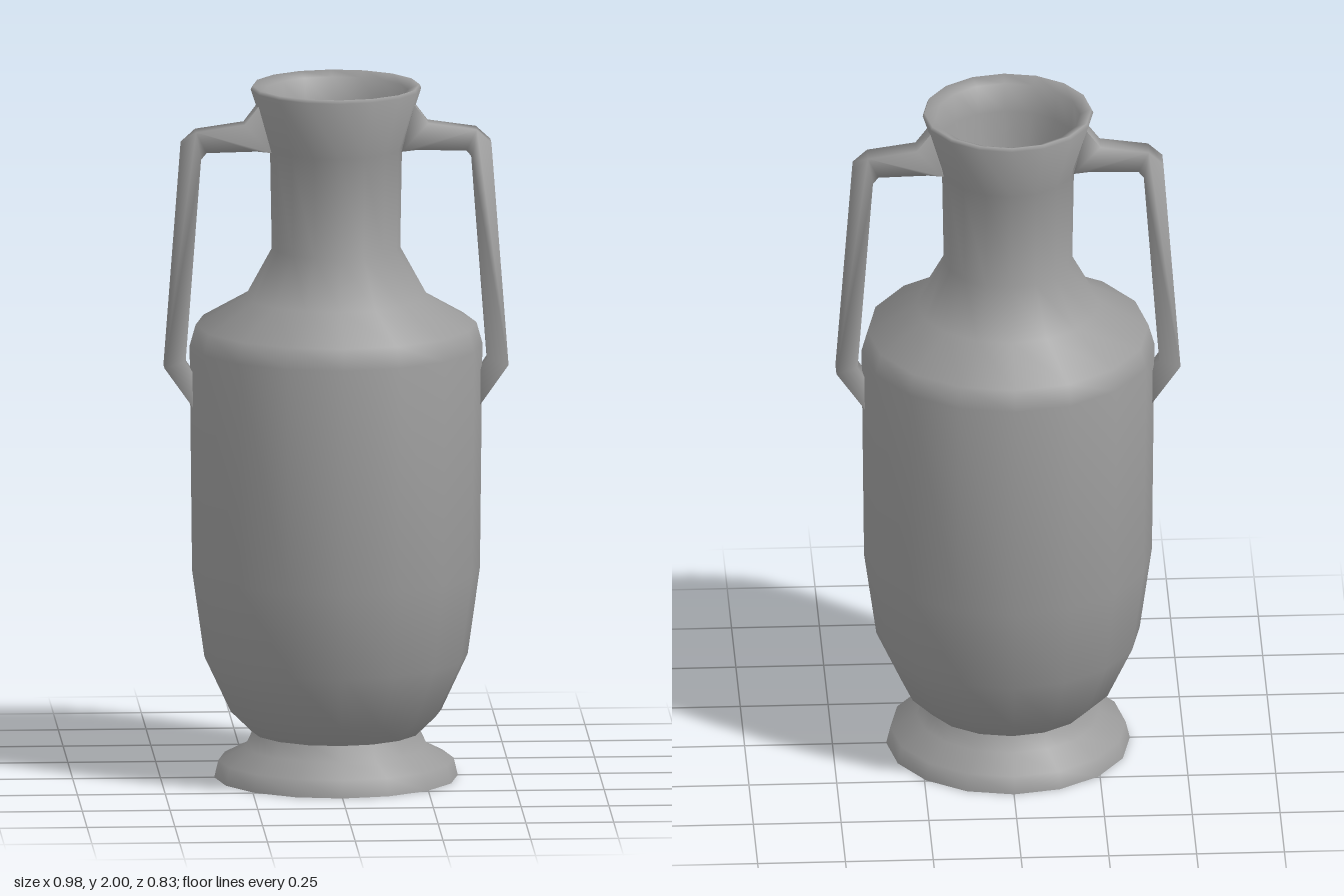
import * as THREE from 'three';
import { toCreasedNormals } from 'three/addons/utils/BufferGeometryUtils.js';

const material = new THREE.MeshStandardMaterial({ color: 0x9c9c9c, side: THREE.DoubleSide });
const SIDES = 16;
const HANDLE_WIDTH = 0.06;

function addMesh(parent, name, geometry) {
  const mesh = new THREE.Mesh(toCreasedNormals(geometry, 1.6), material);
  mesh.name = name;
  parent.add(mesh);
  return mesh;
}

// Revolve a list of [radius, height] pairs
function turned(profile) {
  return new THREE.LatheGeometry(profile.map(([r, y]) => new THREE.Vector2(r, y)), SIDES);
}

export function createModel() {
  const vase = new THREE.Group();
  vase.name = 'vase';

  // Spreading foot with a flat underside
  addMesh(vase, 'foot', turned([
    [0, 0], [0.347, 0], [0.335, 0.05], [0.26, 0.088], [0.238, 0.135],
  ]));

  // Outer wall upwards, over the thick lip, then down into the cup of the neck
  addMesh(vase, 'body', turned([
    [0.238, 0.13], [0.3, 0.19], [0.375, 0.35], [0.41, 0.6], [0.417, 1.25],
    [0.4, 1.31], [0.26, 1.39], [0.183, 1.53], [0.188, 1.82], [0.243, 1.99], [0.238, 2],
    [0.205, 1.985], [0.198, 1.9], [0.165, 1.8], [0.155, 1.6], [0.11, 1.53], [0, 1.5],
  ]));

  // Pair of angular square-section handles from the neck to the shoulder
  const handleOutline = [
    [0.222, 1.945], [0.262, 1.892], [0.4, 1.872], [0.441, 1.835], [0.49, 1.19], [0.405, 1.07],
    [0.4, 1.163], [0.43, 1.208], [0.386, 1.793], [0.37, 1.812], [0.228, 1.815], [0.185, 1.81],
  ];
  const handleShape = new THREE.Shape(handleOutline.map(([x, y]) => new THREE.Vector2(x, y)));
  const handle = new THREE.ExtrudeGeometry(handleShape, { depth: HANDLE_WIDTH, bevelEnabled: false });
  handle.translate(0, 0, -HANDLE_WIDTH / 2);
  for (const [name, turn] of [['leftHandle', 0], ['rightHandle', Math.PI]]) {
    addMesh(vase, name, handle).rotation.y = turn;
  }

  return vase;
}
